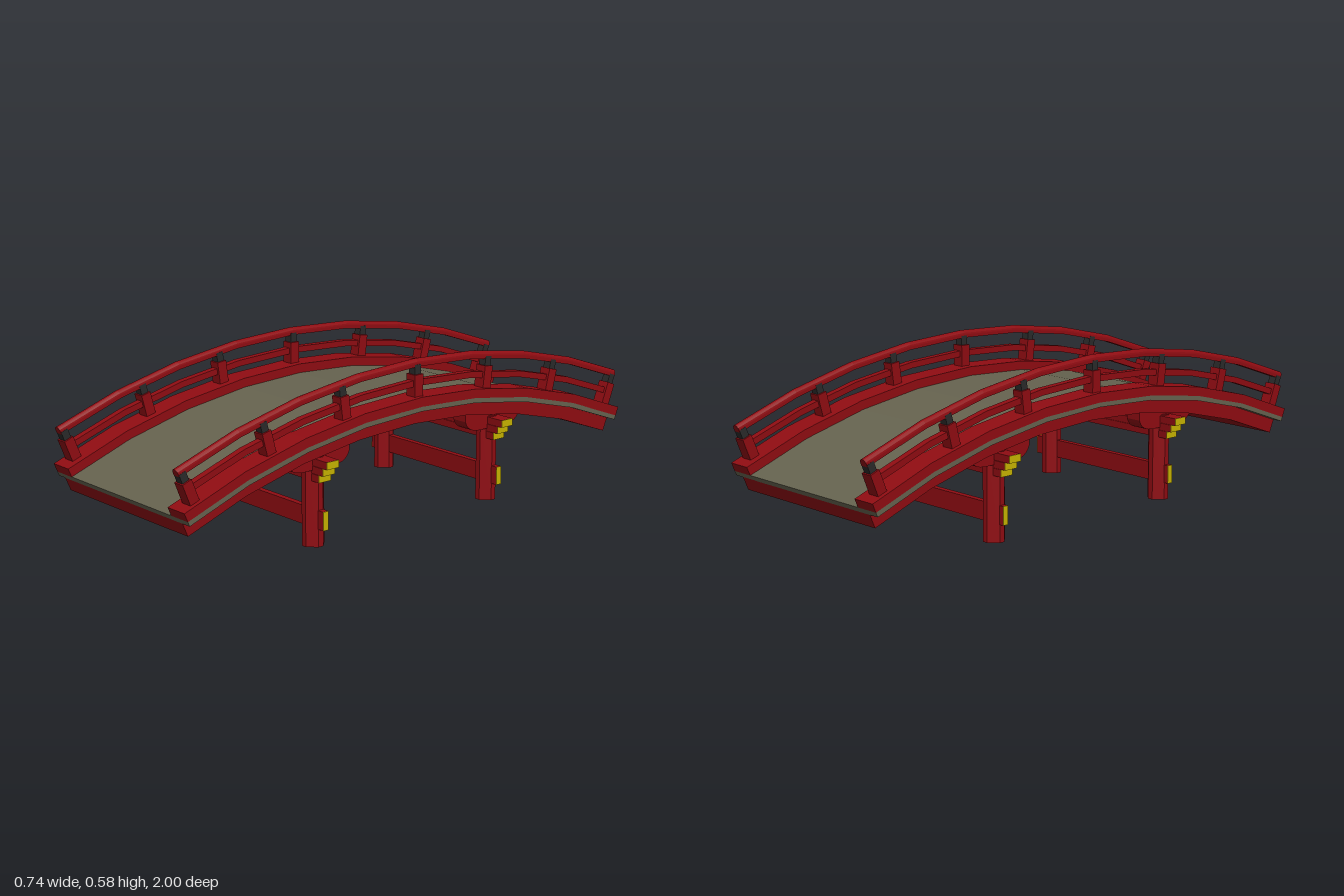
import * as THREE from 'three';

const mat = (color) => new THREE.MeshStandardMaterial({ color, flatShading: true });
const red = mat(0x900c12), olive = mat(0x66634f), dark = mat(0x2a2a2a), yellow = mat(0xc8b400);
const CENTRE_Y = -2.08; // centre of the bridge's arc, below ground

function add(parent, name, geometry, material, x = 0, y = 0, z = 0) {
  const mesh = new THREE.Mesh(geometry, material);
  mesh.name = name;
  mesh.position.set(x, y, z);
  parent.add(mesh);
  return mesh;
}

const box = (w, h, d) => new THREE.BoxGeometry(w, h, d);

// Cross-section (x, radius) swept along the arc in eight straight segments
function arcBar(shape, halfAngle) {
  const geo = new THREE.ExtrudeGeometry(shape, { depth: 2 * halfAngle, steps: 8, bevelEnabled: false, curveSegments: 4 });
  const p = geo.attributes.position;
  for (let i = 0; i < p.count; i++) {
    const a = p.getZ(i) - halfAngle, r = p.getY(i);
    p.setXYZ(i, p.getX(i), r * Math.cos(a) + CENTRE_Y, r * Math.sin(a));
  }
  geo.computeVertexNormals();
  return geo;
}

const polygon = (points) => new THREE.Shape(points.map(([x, y]) => new THREE.Vector2(x, y)));
const rect = (hw, r0, r1) => polygon([[-hw, r0], [hw, r0], [hw, r1], [-hw, r1]]);

// Handrail section with a rounded top
function handrailSection() {
  const s = new THREE.Shape();
  s.moveTo(-0.0145, 2.633);
  s.lineTo(0.0145, 2.633);
  s.lineTo(0.0145, 2.645);
  s.absarc(0, 2.6445, 0.0145, 0, Math.PI, false);
  s.closePath();
  return s;
}

// Kerb, rails and posts of one side
function railing(side) {
  const g = new THREE.Group();
  g.name = side > 0 ? 'leftRailing' : 'rightRailing';
  add(g, 'kerb', arcBar(rect(0.0435, 2.499, 2.532), 0.402), red, side * 0.3215);
  add(g, 'middleRail', arcBar(rect(0.013, 2.566, 2.588), 0.385), red, side * 0.327);
  add(g, 'handrail', arcBar(handrailSection(), 0.385), red, side * 0.327);
  for (let i = -3; i <= 3; i++) {
    const post = new THREE.Group(), a = i * 0.1265;
    post.name = 'railPost';
    add(post, 'postBlock', box(0.043, 0.079, 0.037), red, 0, 2.5675);
    add(post, 'postNeck', box(0.03, 0.036, 0.027), dark, 0, 2.622);
    post.position.set(side * 0.327, CENTRE_Y, 0);
    post.rotation.x = a;
    g.add(post);
  }
  return g;
}

// Square leg with wide chamfers, extruded upwards
function legGeometry() {
  const w = 0.04, c = 0.01;
  const s = polygon([[-c, -w], [c, -w], [w, -c], [w, c], [c, w], [-c, w], [-w, c], [-w, -c]]);
  return new THREE.ExtrudeGeometry(s, { depth: 0.31, bevelEnabled: false }).rotateX(-Math.PI / 2);
}

// Boat-shaped arm along z that carries the deck on a leg
function armGeometry() {
  const s = new THREE.Shape();
  s.moveTo(-0.133, 0.34);
  s.lineTo(-0.133, 0.305);
  s.quadraticCurveTo(-0.122, 0.268, -0.07, 0.265);
  s.lineTo(0.07, 0.265);
  s.quadraticCurveTo(0.122, 0.268, 0.133, 0.305);
  s.lineTo(0.133, 0.34);
  s.closePath();
  return new THREE.ExtrudeGeometry(s, { depth: 0.06, bevelEnabled: false, curveSegments: 5 })
    .translate(0, 0, -0.03).rotateY(Math.PI / 2);
}

// Beam across the bridge with thin yellow end plates
function crossBeam(parent, name, x0, x1, y0, y1, depth) {
  const h = y1 - y0, y = (y0 + y1) / 2;
  add(parent, name, box(x1 - x0 - 0.004, h, depth), red, (x0 + x1) / 2, y);
  for (const x of [x0 + 0.001, x1 - 0.001]) add(parent, 'endPlate', box(0.002, h, depth), yellow, x, y);
}

function trestle(z) {
  const g = new THREE.Group();
  g.name = z > 0 ? 'frontTrestle' : 'backTrestle';
  for (const side of [-1, 1]) {
    add(g, 'leg', legGeometry(), red, side * 0.27);
    add(g, 'bracketArm', armGeometry(), red, side * 0.27);
  }
  crossBeam(g, 'tieBeam', -0.327, 0.336, 0.062, 0.127, 0.022);
  // Stepped beams, longest at the top
  [0.332, 0.352, 0.372].forEach((x, i) => {
    const y = 0.228 + i * 0.0265;
    crossBeam(g, 'steppedBeam', -x, x, y, y + 0.0255, 0.052);
  });
  g.position.z = z;
  return g;
}

export function createModel() {
  const model = new THREE.Group();
  model.name = 'archedBridge';
  add(model, 'deck', arcBar(rect(0.365, 2.483, 2.5), 0.402), olive);
  add(model, 'deckBeam', arcBar(rect(0.328, 2.433, 2.484), 0.402), red);
  for (const side of [-1, 1]) {
    model.add(railing(side));
    model.add(trestle(side * 0.4));
  }
  return model;
}
